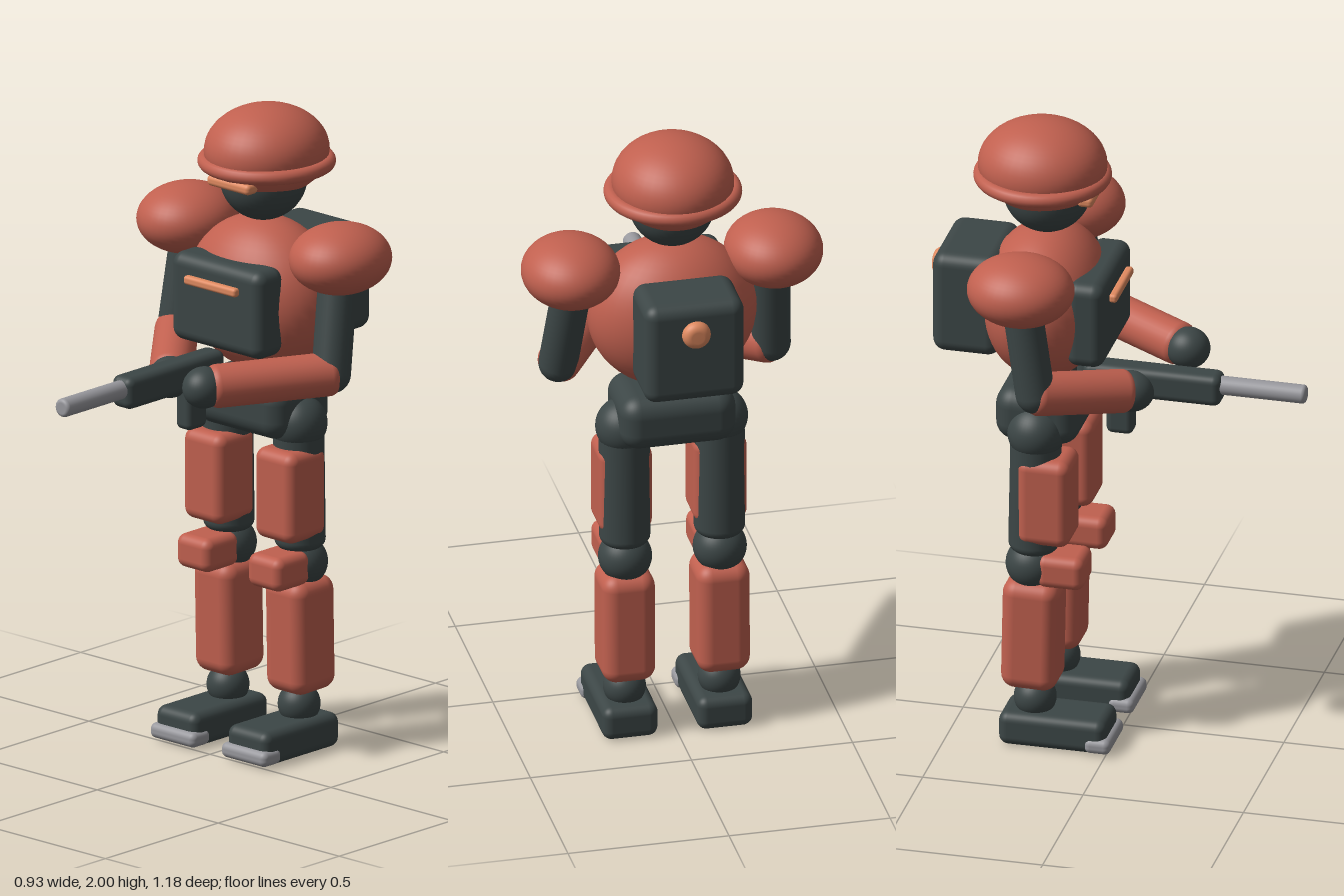
import * as THREE from 'three';
import { RoundedBoxGeometry } from 'three/addons/geometries/RoundedBoxGeometry.js';

const mat = (name, color) => {
  const m = new THREE.MeshStandardMaterial({ color });
  m.name = name;
  return m;
};

export function createModel() {
  const red = mat('armour red', 0xc0604f);
  const dark = mat('suit charcoal', 0x3c4646);
  const orange = mat('accent orange', 0xe08a60);
  const grey = mat('metal grey', 0x98989d);
  const model = new THREE.Group();
  model.name = 'armouredTrooper';

  const add = (name, geo, material, x, y, z, parent = model) => {
    const m = new THREE.Mesh(geo, material);
    m.name = name;
    m.position.set(x, y, z);
    parent.add(m);
    return m;
  };
  const box = (name, material, [w, h, d], r, [x, y, z], parent) =>
    add(name, new RoundedBoxGeometry(w, h, d, 5, r), material, x, y, z, parent);
  const ball = (name, material, [rx, ry, rz], [x, y, z], parent) =>
    add(name, new THREE.SphereGeometry(1, 40, 28).scale(rx, ry, rz), material, x, y, z, parent);

  // Rod with softly rounded rims; a bevel equal to the radius gives a capsule
  const rod = (r, length, bevel) => {
    const pts = [new THREE.Vector2(0, -length / 2)];
    for (const end of [-1, 1]) {
      for (let i = 0; i <= 8; i++) {
        const a = (end < 0 ? i - 8 : i) / 8 * Math.PI / 2;
        pts.push(new THREE.Vector2(r - bevel + bevel * Math.cos(a),
          end * (length / 2 - bevel) + bevel * Math.sin(a)));
      }
    }
    pts.push(new THREE.Vector2(0, length / 2));
    return new THREE.LatheGeometry(pts, 32);
  };
  // Rod reaching from a to b, extended past both ends by `extra`
  const limb = (name, material, a, b, r, bevel, extra, parent = model) => {
    const A = new THREE.Vector3(...a), B = new THREE.Vector3(...b);
    const dir = B.clone().sub(A);
    const mid = A.clone().add(B).multiplyScalar(0.5);
    const m = add(name, rod(r, dir.length() + 2 * extra, bevel), material, mid.x, mid.y, mid.z, parent);
    m.quaternion.setFromUnitVectors(new THREE.Vector3(0, 1, 0), dir.normalize());
    return m;
  };

  // Head and helmet
  ball('head', dark, [0.132, 0.132, 0.135], [0, 1.777, -0.238]);
  ball('helmetDome', red, [0.185, 0.14, 0.197], [0, 1.86, -0.252]);
  add('helmetRim', new THREE.TorusGeometry(0.188, 0.022, 16, 56).rotateX(Math.PI / 2), red, 0, 1.825, -0.252);
  box('visor', orange, [0.175, 0.034, 0.05], 0.014, [0, 1.783, -0.1]);

  // Torso, chest plate and pack
  ball('torso', red, [0.26, 0.243, 0.195], [0, 1.413, -0.238]);
  add('waist', rod(0.09, 0.14, 0.02), dark, 0, 1.15, -0.238);
  box('chestPlate', dark, [0.376, 0.278, 0.12], 0.038, [0, 1.412, -0.078]);
  box('chestStripe', orange, [0.215, 0.028, 0.026], 0.01, [0, 1.481, -0.007]);
  box('backpack', dark, [0.31, 0.328, 0.21], 0.04, [0, 1.423, -0.458]);
  add('packKnob', rod(0.044, 0.07, 0.025).rotateX(Math.PI / 2), orange, 0, 1.493, -0.557);
  box('pelvis', dark, [0.36, 0.175, 0.26], 0.06, [0, 1.078, -0.235]);

  // Legs, mirrored
  for (const s of [-1, 1]) {
    const leg = new THREE.Group();
    leg.name = s > 0 ? 'leftLeg' : 'rightLeg';
    model.add(leg);
    const x = s * 0.147;
    ball('hip', dark, [0.088, 0.088, 0.088], [x, 1.03, -0.235], leg);
    limb('thigh', dark, [x, 1.02, -0.235], [x, 0.65, -0.242], 0.078, 0.03, 0.015, leg);
    box('thighPlate', red, [0.165, 0.286, 0.165], 0.035, [x, 0.82, -0.198], leg);
    ball('knee', dark, [0.082, 0.08, 0.082], [x, 0.59, -0.246], leg);
    box('kneePad', red, [0.14, 0.106, 0.15], 0.03, [x, 0.587, -0.148], leg);
    const shin = box('shin', red, [0.165, 0.36, 0.176], 0.045, [x, 0.366, -0.243], leg);
    shin.rotation.x = 0.02;
    ball('ankle', dark, [0.065, 0.065, 0.065], [x, 0.142, -0.238], leg);
    box('foot', dark, [0.172, 0.108, 0.335], 0.03, [x, 0.056, -0.168], leg);
    box('toeCap', grey, [0.187, 0.048, 0.082], 0.02, [x, 0.032, -0.025], leg);
  }

  // Arms: each side has its own elbow and hand position
  const arms = [
    ['leftArm', 1, [0.338, 1.237, -0.175], [0.132, 1.228, 0.168]],
    ['rightArm', -1, [-0.318, 1.24, -0.195], [-0.112, 1.185, 0.055]],
  ];
  for (const [name, s, elbow, hand] of arms) {
    const arm = new THREE.Group();
    arm.name = name;
    model.add(arm);
    ball('shoulderPad', red, [0.15, 0.108, 0.164], [s * 0.315, 1.583, -0.241], arm);
    limb('upperArm', dark, [s * 0.305, 1.56, -0.245], elbow, 0.06, 0.06, 0.06, arm);
    const wrist = elbow.map((v, i) => v + (hand[i] - v) * 0.92);
    limb('forearm', red, elbow, wrist, 0.067, 0.03, 0.02, arm);
    ball('hand', dark, [0.064, 0.064, 0.068], hand, arm);
  }

  // Carbine held at the waist
  const gun = new THREE.Group();
  gun.name = 'carbine';
  model.add(gun);
  box('gunBody', dark, [0.084, 0.1, 0.43], 0.025, [-0.067, 1.203, 0.112], gun);
  box('gunGrip', dark, [0.064, 0.16, 0.084], 0.02, [-0.067, 1.104, 0.01], gun);
  add('gunBarrel', rod(0.029, 0.3, 0.012).rotateX(Math.PI / 2), grey, -0.067, 1.214, 0.438, gun);

  return model;
}
